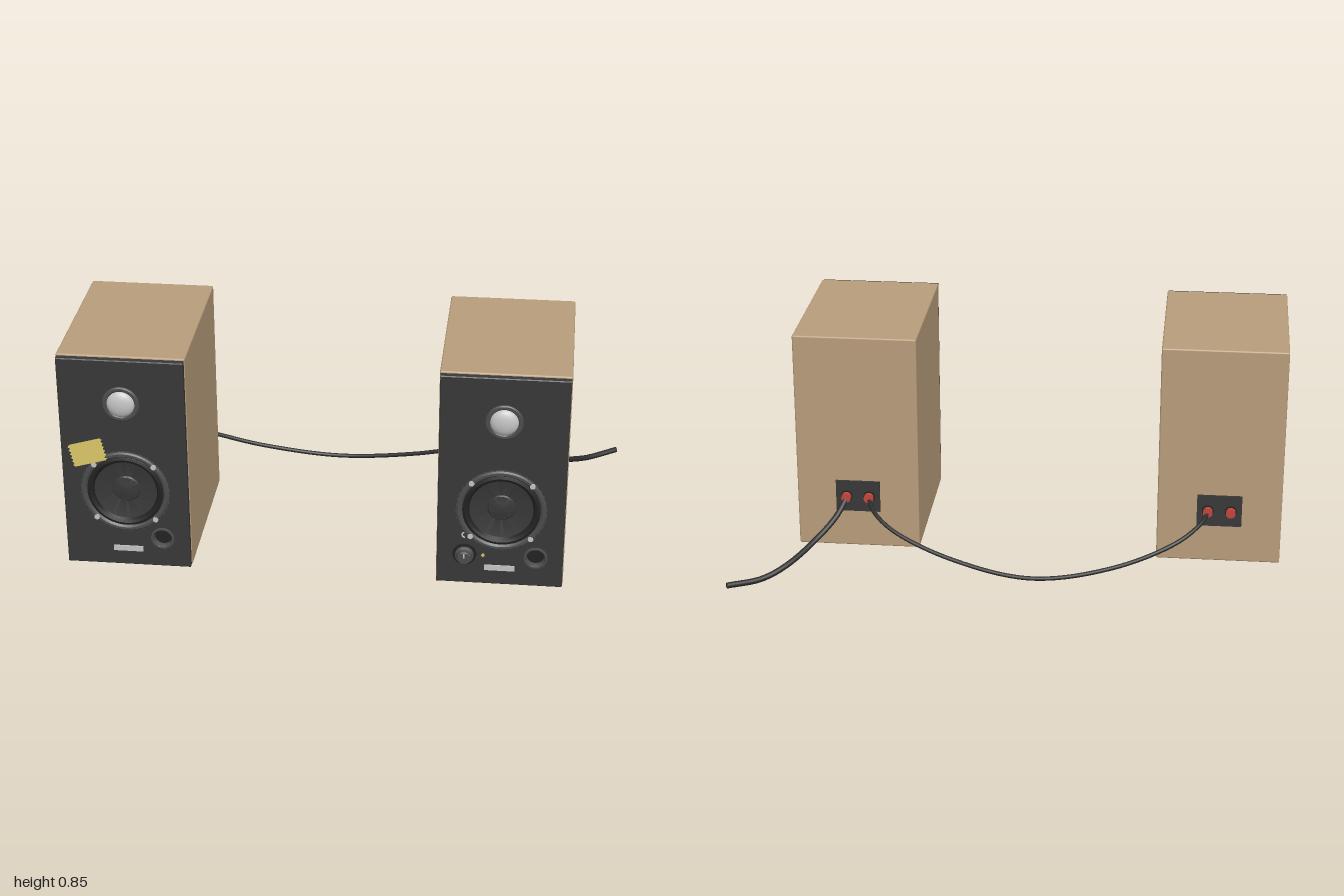
import * as THREE from 'three';
import { RoundedBoxGeometry } from 'three/addons/geometries/RoundedBoxGeometry.js';
import { toCreasedNormals } from 'three/addons/utils/BufferGeometryUtils.js';

const material = (name, color, side = THREE.FrontSide) => {
  const m = new THREE.MeshStandardMaterial({ color, side });
  m.name = name;
  return m;
};

export function createModel() {
  const wood = material('wood', 0xb89d7b);
  const panelGrey = material('panel charcoal', 0x383838);
  const black = material('black rubber', 0x222222);
  const ringGrey = material('ring grey', 0x4a4c4e);
  const silver = material('silver', 0xc4c4c4);
  const red = material('terminal red', 0xc2453c);
  const tapeYellow = material('tape yellow', 0xd2bf62, THREE.DoubleSide);
  const cableBlack = material('cable black', 0x2b2b2b);

  const model = new THREE.Group();
  model.name = 'speakerPair';

  const add = (parent, name, geometry, mat, x = 0, y = 0, z = 0) => {
    const mesh = new THREE.Mesh(geometry, mat);
    mesh.name = name;
    mesh.position.set(x, y, z);
    parent.add(mesh);
    return mesh;
  };
  // Turned part whose axis points forward; points are [radius, depth]
  const turned = (points, segments = 48) => toCreasedNormals(
    new THREE.LatheGeometry(points.map(p => new THREE.Vector2(...p)), segments).rotateX(Math.PI / 2), 0.6);

  const FACE = 0.512;
  const WOOFER_Y = 0.33, TWEETER_Y = 0.68, PORT = [0.127, 0.14];

  // Front board with openings for the woofer and the port
  const board = new THREE.Shape();
  board.moveTo(-0.222, 0.026).lineTo(0.222, 0.026).lineTo(0.222, 0.843).lineTo(-0.222, 0.843).closePath();
  [[0, WOOFER_Y, 0.145], [...PORT, 0.036]].forEach(([x, y, r]) => {
    board.holes.push(new THREE.Path().absarc(x, y, r, 0, Math.PI * 2, true));
  });
  const boardGeometry = new THREE.ExtrudeGeometry(board, {
    depth: 0.02, bevelEnabled: true, bevelThickness: 0.003, bevelSize: 0.003, bevelSegments: 1, curveSegments: 32,
  });

  function makeSpeaker(name, x) {
    const s = new THREE.Group();
    s.name = name;
    s.position.x = x;
    model.add(s);

    add(s, 'cabinet', new RoundedBoxGeometry(0.456, 0.833, 0.628, 2, 0.006), wood, 0, 0.4365, 0.175);
    add(s, 'frontPanel', boardGeometry, panelGrey, 0, 0, FACE - 0.023);

    // Woofer: outer ring, rubber surround, cone and dust cap
    add(s, 'wooferRing', turned([[0.159, 0], [0.159, 0.008], [0.154, 0.013], [0.145, 0.013], [0.138, 0.006], [0.136, -0.01]]),
      ringGrey, 0, WOOFER_Y, FACE);
    add(s, 'wooferSurround', turned([[0.142, 0], [0.137, 0.007], [0.128, 0.01], [0.119, 0.006], [0.113, -0.004]]),
      black, 0, WOOFER_Y, FACE);
    add(s, 'wooferCone', turned([[0.116, -0.003], [0.05, -0.017], [0.046, -0.012], [0.025, -0.006], [0, -0.004]]),
      panelGrey, 0, WOOFER_Y, FACE);
    for (let i = 0; i < 4; i++) {
      const a = Math.PI / 4 + i * Math.PI / 2;
      add(s, 'wooferScrew', new THREE.CylinderGeometry(0.01, 0.01, 0.006, 12).rotateX(Math.PI / 2), silver,
        Math.cos(a) * 0.151, WOOFER_Y + Math.sin(a) * 0.151, FACE + 0.012);
    }
    // Ribs around the woofer rim
    for (let i = 0; i < 40; i++) {
      const a = (i + 0.5) * Math.PI / 20;
      const rib = add(s, 'wooferRib', new THREE.BoxGeometry(0.008, 0.008, 0.008), ringGrey,
        Math.cos(a) * 0.157, WOOFER_Y + Math.sin(a) * 0.157, FACE + 0.004);
      rib.rotation.z = a;
    }

    // Tweeter
    add(s, 'tweeterRing', turned([[0.066, 0], [0.066, 0.006], [0.062, 0.009], [0.053, 0.009], [0.048, 0.004]]),
      ringGrey, 0, TWEETER_Y, FACE);
    const dome = new THREE.SphereGeometry(0.05, 32, 12, 0, Math.PI * 2, 0, Math.PI / 2).rotateX(Math.PI / 2);
    add(s, 'tweeterDome', dome, silver, 0, TWEETER_Y, FACE + 0.003).scale.z = 0.46;

    // Bass port
    add(s, 'portRing', turned([[0.043, 0], [0.042, 0.005], [0.036, 0.006], [0.032, 0], [0.031, -0.018]], 32),
      ringGrey, PORT[0], PORT[1], FACE);
    add(s, 'portBottom', new THREE.CircleGeometry(0.034, 32), black, PORT[0], PORT[1], FACE - 0.018);

    // Plain name plate
    add(s, 'namePlate', new THREE.BoxGeometry(0.108, 0.021, 0.005), silver, 0, 0.092, FACE + 0.002);

    // Feet
    for (const fx of [-0.168, 0.168]) for (const fz of [0.408, -0.054]) {
      add(s, 'foot', new THREE.CylinderGeometry(0.014, 0.021, 0.022, 20), black, fx, 0.011, fz);
    }

    // Connection plate with two terminals
    add(s, 'terminalPlate', new THREE.BoxGeometry(0.165, 0.122, 0.008), panelGrey, 0, 0.225, -0.141);
    for (const tx of [-0.042, 0.042]) {
      add(s, 'terminalCollar', new THREE.CylinderGeometry(0.022, 0.022, 0.006, 20).rotateX(Math.PI / 2), black, tx, 0.225, -0.147);
      add(s, 'terminal', new THREE.CylinderGeometry(0.018, 0.018, 0.026, 16).rotateX(Math.PI / 2), red, tx, 0.225, -0.154);
    }
    return s;
  }

  const passive = makeSpeaker('rightSpeaker', -0.772);
  const active = makeSpeaker('leftSpeaker', 0.571);

  // Volume knob, pointer, light and a small clip on the powered speaker
  add(active, 'knobBase', turned([[0.043, 0], [0.042, 0.004], [0, 0.004]], 32), black, -0.126, 0.142, FACE);
  add(active, 'knob', turned([[0.034, 0], [0.033, 0.012], [0.027, 0.015], [0.025, 0.032], [0.022, 0.035], [0, 0.035]], 24),
    ringGrey, -0.126, 0.142, FACE);
  add(active, 'knobPointer', new THREE.BoxGeometry(0.005, 0.018, 0.003), silver, -0.126, 0.154, FACE + 0.035);
  add(active, 'powerLight', new THREE.CylinderGeometry(0.006, 0.006, 0.005, 12).rotateX(Math.PI / 2), tapeYellow,
    -0.06, 0.142, FACE + 0.002);
  add(active, 'scaleMark', new THREE.TorusGeometry(0.01, 0.003, 6, 12, Math.PI), silver, -0.126, 0.222, FACE + 0.002)
    .rotation.z = Math.PI / 2;

  // Strip of tape with zigzag ends
  const tape = new THREE.Shape();
  const TEETH = 6, W = 0.057, H = 0.042;
  tape.moveTo(-W, -H);
  for (let i = 0; i <= TEETH * 2; i++) tape.lineTo(W + (i % 2) * 0.007, -H + i * H / TEETH);
  for (let i = 0; i <= TEETH * 2; i++) tape.lineTo(-W - (i % 2) * 0.007, H - i * H / TEETH);
  const tapeMesh = add(passive, 'tape', new THREE.ExtrudeGeometry(tape, { depth: 0.003, bevelEnabled: false }),
    tapeYellow, -0.128, 0.483, FACE + 0.008);
  tapeMesh.rotation.set(-0.12, 0, 0.27);

  // Cables
  const cable = (name, points, radius) => {
    const curve = new THREE.CatmullRomCurve3(points.map(p => new THREE.Vector3(...p)));
    add(model, name, new THREE.TubeGeometry(curve, 72, radius, 10), cableBlack);
    const end = points[points.length - 1];
    const t = curve.getTangent(1);
    const cap = add(model, name + 'End', new THREE.CircleGeometry(radius, 10), cableBlack, ...end);
    cap.lookAt(end[0] + t.x, end[1] + t.y, end[2] + t.z);
  };
  cable('linkCable', [
    [-0.73, 0.22, -0.155], [-0.705, 0.2, -0.21], [-0.62, 0.155, -0.285], [-0.4, 0.075, -0.345], [-0.1, 0.03, -0.373],
    [0.2, 0.075, -0.335], [0.42, 0.15, -0.275], [0.5, 0.195, -0.215], [0.529, 0.22, -0.155],
  ], 0.008);
  cable('powerCable', [
    [0.613, 0.22, -0.155], [0.645, 0.165, -0.2], [0.705, 0.105, -0.265], [0.8, 0.05, -0.395],
    [0.88, 0.026, -0.465], [0.992, 0.029, -0.536],
  ], 0.011);

  return model;
}
